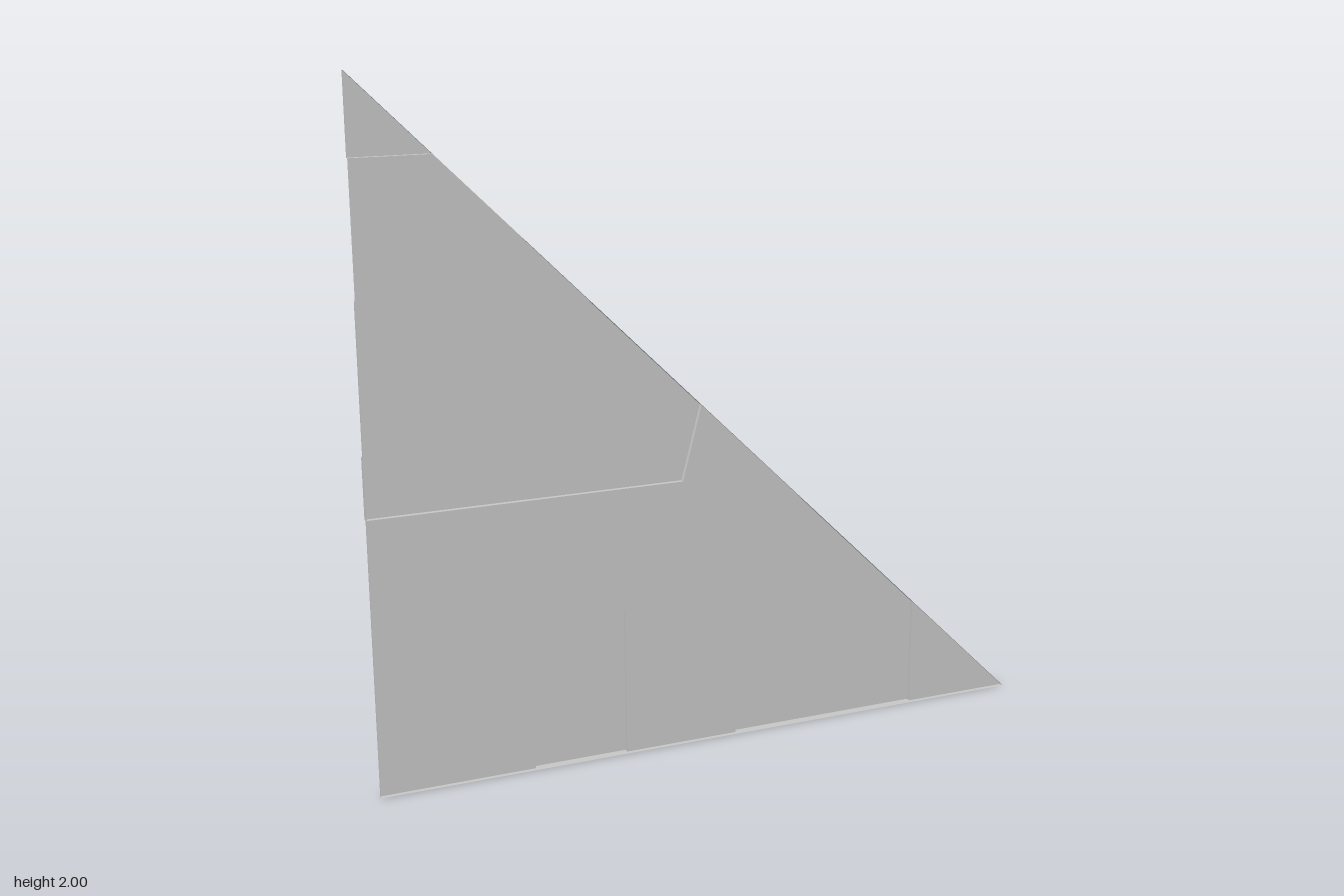
import * as THREE from 'three';

const STEP = 0.0133; // depth of one level
const FRONT = STEP, MID = 0, BACK = -STEP;

export function createModel() {
  const group = new THREE.Group();
  const grey = new THREE.MeshStandardMaterial({ color: 0xc8c8c8, side: THREE.DoubleSide });
  grey.name = 'lightGrey';

  // flat face at one level
  function panel(name, pts, z) {
    const shape = new THREE.Shape(pts.map(([x, y]) => new THREE.Vector2(x, y)));
    const mesh = new THREE.Mesh(new THREE.ShapeGeometry(shape), grey);
    mesh.position.z = z;
    mesh.name = name;
    group.add(mesh);
  }

  // thin walls around a closed outline, joining two levels
  function rim(name, pts, z0, z1) {
    const pos = [];
    pts.forEach(([ax, ay], i) => {
      const [bx, by] = pts[(i + 1) % pts.length];
      pos.push(ax, ay, z0, bx, by, z0, bx, by, z1);
      pos.push(ax, ay, z0, bx, by, z1, ax, ay, z1);
    });
    const geo = new THREE.BufferGeometry();
    geo.setAttribute('position', new THREE.Float32BufferAttribute(pos, 3));
    geo.computeVertexNormals();
    const mesh = new THREE.Mesh(geo, grey);
    mesh.name = name;
    group.add(mesh);
  }

  // front level strip
  panel('upperStrip', [[-1, 1.41], [-0.547, 1.41], [-0.547, 1.547], [-0.78, 1.78], [-1, 1.78]], FRONT);

  // tip, one level back
  const tip = [[-1, 1.78], [-0.78, 1.78], [-1, 2]];
  panel('tipPanel', tip, MID);
  rim('tipRim', tip, MID, FRONT);

  // middle level: three panels inside one outer rim
  rim('outerRim', [[-1, 0], [1, 0], [-0.547, 1.547], [-0.547, 1.41], [-1, 1.41]], MID, FRONT);
  panel('middleStep', [[-1, 0.987], [-0.36, 0.987], [-0.36, 1.36], [-0.547, 1.547], [-0.547, 1.41], [-1, 1.41]], MID);
  panel('mainPanel', [[-1, 0], [-0.547, 0], [-0.547, 0.205], [-0.31, 0.442], [-0.267, 0.442], [-0.267, 0],
    [0.078, 0], [0.078, 0.505], [0.286, 0.714], [-0.03, 1.03], [-0.087, 0.81], [-1, 0.81]], MID);
  panel('cornerPanel', [[0.67, 0], [1, 0], [0.67, 0.33]], MID);

  // rearmost level
  const deep = {
    band: [[-1, 0.81], [-0.087, 0.81], [-0.03, 1.03], [-0.36, 1.36], [-0.36, 0.987], [-1, 0.987]],
    notch: [[-0.547, 0], [-0.267, 0], [-0.267, 0.442], [-0.31, 0.442], [-0.547, 0.205]],
    sidePocket: [[0.078, 0], [0.67, 0], [0.67, 0.33], [0.286, 0.714], [0.078, 0.505]],
  };
  for (const [name, pts] of Object.entries(deep)) {
    panel(name + 'Panel', pts, BACK);
    rim(name + 'Rim', pts, BACK, MID);
  }
  return group;
}
